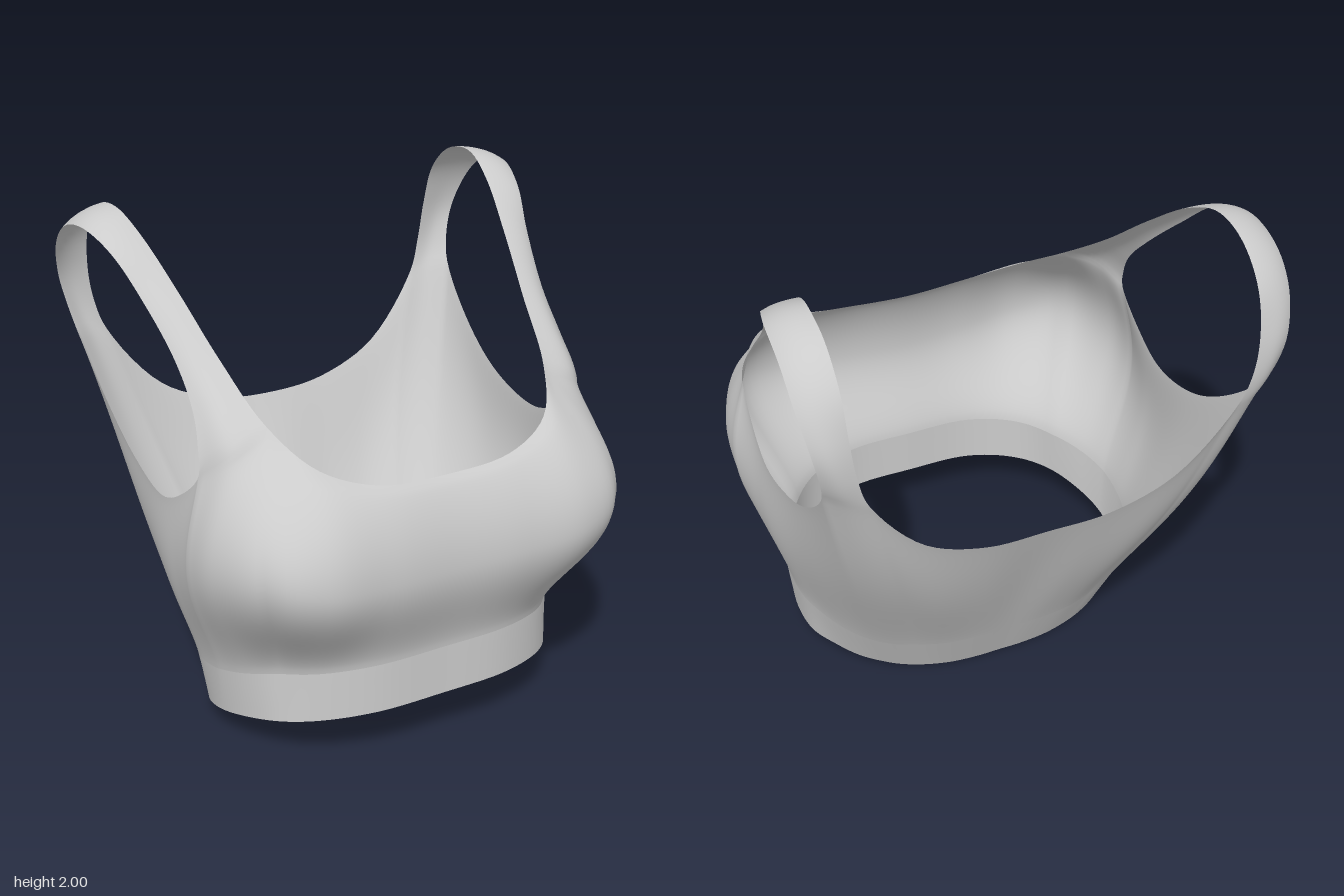
import * as THREE from 'three';
import { mergeGeometries, mergeVertices } from 'three/addons/utils/BufferGeometryUtils.js';

const V = (x, y, z) => new THREE.Vector3(x, y, z);
const SUB = 6; // samples between neighbouring columns

// Half of the garment from centre front to centre back:
// hem x, z | upper edge x, y, z | outward fullness x, z
const COLUMNS = [
  [0, 0.67, 0, 1.175, 0.66, 0, 0.115],
  [0.28, 0.66, 0.28, 1.195, 0.655, 0.02, 0.14],
  [0.48, 0.585, 0.48, 1.265, 0.575, 0.08, 0.225],
  [0.6, 0.48, 0.595, 1.39, 0.4, 0.16, 0.255], // strap front, inner
  [0.68, 0.33, 0.74, 1.315, 0.4, 0.15, 0.1],
  [0.715, 0.2, 0.828, 1.22, 0.31, 0.1, 0.03], // strap front, outer
  [0.715, 0.1, 0.84, 1.085, 0.17, 0.06, 0],
  [0.695, 0.02, 0.845, 1.01, 0, 0.045, 0],
  [0.64, -0.06, 0.84, 1.06, -0.27, 0.035, 0],
  [0.56, -0.15, 0.845, 1.2, -0.51, 0.035, 0],
  [0.46, -0.22, 0.865, 1.42, -0.735, 0.02, -0.04], // strap back, outer
  [0.4, -0.25, 0.795, 1.4, -0.785, 0.01, -0.05],
  [0.33, -0.275, 0.715, 1.38, -0.8, 0, -0.055], // strap back, inner
  [0.22, -0.3, 0.5, 1.11, -0.77, 0, -0.035],
  [0.1, -0.31, 0.25, 1.0, -0.75, 0, -0.015],
  [0, -0.31, 0, 0.98, -0.735, 0, 0],
];

// Strap edges between the front and back strap bases
const STRAP_INNER = [
  [0.66, 1.58, 0.15], [0.71, 1.77, -0.07], [0.755, 1.93, -0.28], [0.78, 2.0, -0.45],
  [0.785, 1.97, -0.62], [0.785, 1.85, -0.75], [0.78, 1.68, -0.805], [0.76, 1.52, -0.815],
];
const STRAP_OUTER = [
  [0.82, 1.3, 0.295], [0.8, 1.42, 0.22], [0.8, 1.57, 0.08], [0.84, 1.75, -0.1], [0.89, 1.89, -0.25],
  [0.93, 1.95, -0.42], [0.94, 1.91, -0.6], [0.935, 1.8, -0.72], [0.91, 1.65, -0.785], [0.885, 1.53, -0.78],
];

const curve = (pts, closed = false, type = 'centripetal') => new THREE.CatmullRomCurve3(pts, closed, type);
const sample = (pts, closed, type) => curve(pts, closed, type).getPoints((closed ? pts.length : pts.length - 1) * SUB);
const mirror = (p) => V(-p.x, p.y, p.z);

// Half list of points -> full loop around the body
const fullLoop = (half) => [...half, ...half.slice(1, -1).reverse().map(mirror)];

// Surface from rows of points; columns run left to right, rows run upward
function gridGeometry(rows) {
  const w = rows[0].length;
  const index = [];
  for (let r = 0; r < rows.length - 1; r++) {
    for (let k = 0; k < w - 1; k++) {
      const a = r * w + k;
      index.push(a, a + 1, a + w + 1, a, a + w + 1, a + w);
    }
  }
  const geo = new THREE.BufferGeometry().setFromPoints(rows.flat());
  geo.setIndex(index);
  return geo;
}

function smoothMerge(geos) {
  const geo = mergeVertices(mergeGeometries(geos), 1e-4);
  geo.computeVertexNormals();
  return geo;
}

export function createModel() {
  const group = new THREE.Group();
  const material = new THREE.MeshStandardMaterial({ color: 0xcccccc, roughness: 0.8, side: THREE.DoubleSide });
  const addMesh = (name, geo) => {
    const mesh = new THREE.Mesh(geo, material);
    mesh.name = name;
    group.add(mesh);
  };

  // Tilted hem and outward fullness
  const hem = sample(fullLoop(COLUMNS.map((c) => V(c[0], 0.248 * (c[1] + 0.31), c[1]))), true);
  const fullness = sample(fullLoop(COLUMNS.map((c) => V(c[5], 0, c[6]))), true, 'catmullrom');

  // Neckline and armhole are smooth closed loops that also bound the straps
  const top = COLUMNS.map((c) => V(c[2], c[3], c[4]));
  const innerPts = STRAP_INNER.map((p) => V(...p));
  const outerPts = STRAP_OUTER.map((p) => V(...p));
  const neck = sample(fullLoop([...top.slice(0, 4), ...innerPts, ...top.slice(12)]), true);
  const arm = sample([...top.slice(5, 11), ...outerPts.reverse()], true);
  const neckBack = (4 + innerPts.length) * SUB;
  const frontBase = sample(top.slice(3, 6));
  const backBase = sample(top.slice(10, 13));

  // Upper edge of the bodice
  const edge = fullLoop([
    ...neck.slice(0, 3 * SUB), ...frontBase.slice(0, -1), ...arm.slice(0, 5 * SUB),
    ...backBase.slice(0, -1), ...neck.slice(neckBack, neckBack + 3 * SUB + 1),
  ]);
  edge.push(edge[0]);

  // Underbust band
  const bandTop = hem.map((h, k) => h.clone().lerp(edge[k], 0.205 / (edge[k].y - h.y)));
  const bandRows = [0, 1, 2, 3, 4].map((r) => hem.map((h, k) => h.clone().lerp(bandTop[k], r / 4)));
  addMesh('underbustBand', smoothMerge([gridGeometry(bandRows)]));

  // Bodice: from band to upper edge, swelling in the middle, rounder above the cups
  const ROWS = 40;
  const bodiceRows = [];
  for (let r = 0; r <= ROWS; r++) {
    const s = r / ROWS;
    const phase = Math.pow(s, 1.12);
    const wave = Math.max(0, Math.sin(Math.PI * phase));
    bodiceRows.push(bandTop.map((b, k) => {
      const upper = 1.2 - 0.5 * THREE.MathUtils.smoothstep(edge[k].z, 0.4, 0.62);
      const swell = Math.pow(wave, phase > 0.5 ? upper : 1.3);
      return b.clone().lerp(edge[k], s).addScaledVector(fullness[k], swell);
    }));
  }

  // Shoulder strap, starting and ending on the bodice edge
  const inner = curve(neck.slice(3 * SUB, neckBack + 1));
  const outer = curve(arm.slice(5 * SUB).reverse());
  const backRow = backBase.reverse();
  const across = frontBase.length - 1;
  const loft = (t, q) => {
    const p = inner.getPointAt(t).lerp(outer.getPointAt(t), q);
    const out = V(0.5, p.y - 1.45, p.z + 0.25).normalize();
    return p.addScaledVector(out, 0.06 * q * (1 - q));
  };
  const STEPS = 60;
  const strapRows = [];
  for (let i = 0; i <= STEPS; i++) {
    const t = i / STEPS;
    const wFront = Math.max(0, 1 - t / 0.3) ** 2;
    const wBack = Math.max(0, 1 - (1 - t) / 0.3) ** 2;
    strapRows.push(frontBase.map((f, k) => {
      const q = k / across;
      return loft(t, q)
        .addScaledVector(f.clone().sub(loft(0, q)), wFront)
        .addScaledVector(backRow[k].clone().sub(loft(1, q)), wBack);
    }));
  }
  const mirroredRows = strapRows.map((row) => row.map(mirror).reverse());

  addMesh('bodiceWithStraps', smoothMerge([bodiceRows, strapRows, mirroredRows].map(gridGeometry)));
  return group;
}
